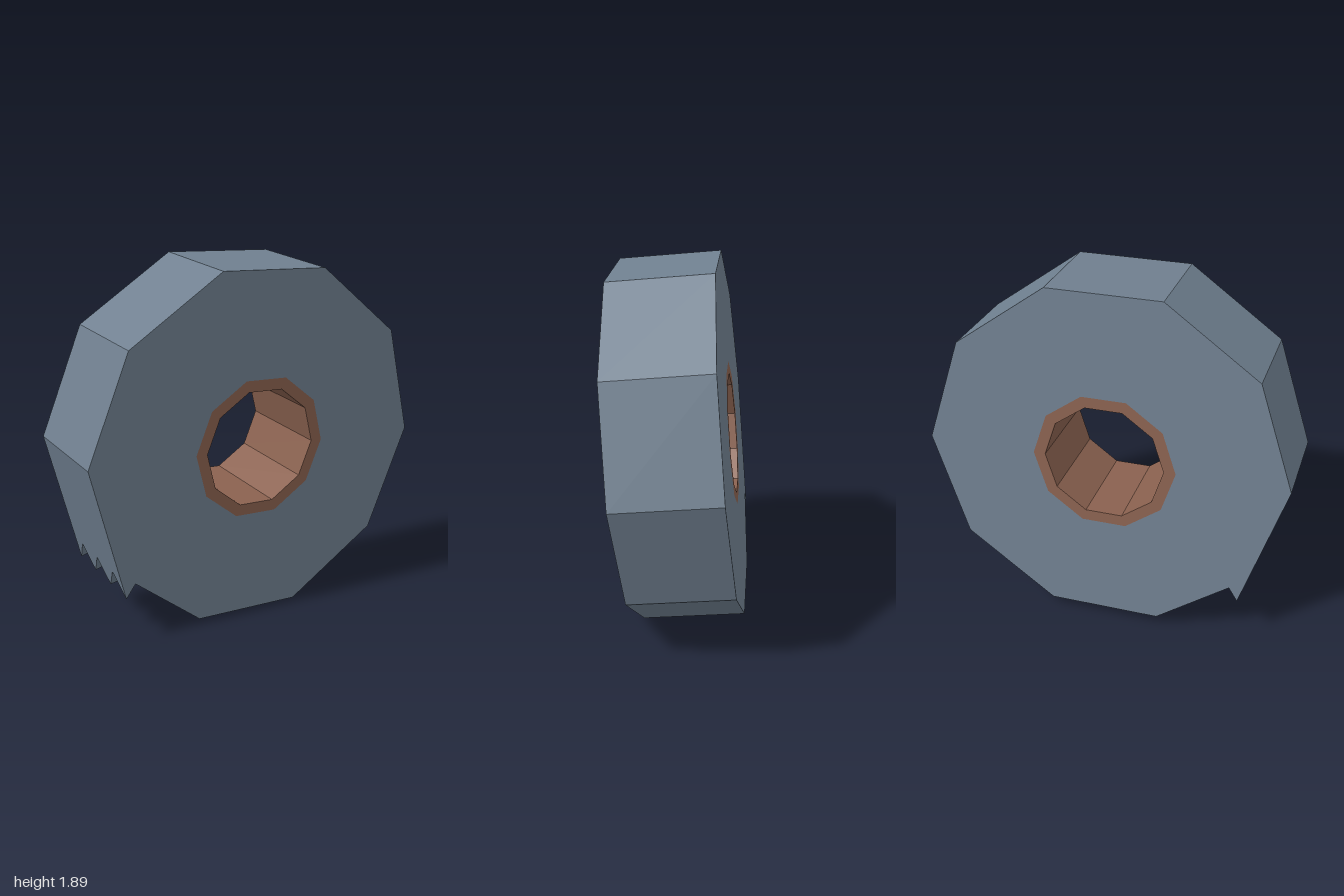
import * as THREE from 'three';

const R = 0.962;      // body radius
const SLEEVE = 0.38;  // sleeve outer radius
const BORE = 0.317;   // hole radius
const DEPTH = 0.538;
const SIDES = 10;

const polar = (r, i) => {
  const a = (i / SIDES) * Math.PI * 2;
  return new THREE.Vector2(r * Math.cos(a), r * Math.sin(a));
};
const polygon = (r) => Array.from({ length: SIDES }, (_, i) => polar(r, i));

// Ten-sided ring, centred on its depth
function ring(outer, inner) {
  const shape = new THREE.Shape(polygon(outer));
  shape.holes.push(new THREE.Path(polygon(inner).reverse()));
  const geo = new THREE.ExtrudeGeometry(shape, { depth: DEPTH, bevelEnabled: false });
  return geo.translate(0, 0, -DEPTH / 2);
}

// Row of teeth continuing one rim facet past its corner
function teeth() {
  const corner = polar(R, 6);
  const along = corner.clone().sub(polar(R, 5)).normalize();
  const next = polar(R, 7).sub(corner).normalize();
  const base = corner.clone().addScaledVector(next, 0.115);
  const steps = 6;
  const sections = [];
  for (let i = 0; i <= steps; i++) {
    const z = -DEPTH / 2 + (DEPTH * i) / steps;
    const tip = corner.clone().addScaledVector(along, i % 2 ? 0.025 : 0.15);
    sections.push([corner, tip, base].map((p) => new THREE.Vector3(p.x, p.y, z)));
  }
  const pts = [];
  for (let i = 0; i < steps; i++) {
    const a = sections[i], b = sections[i + 1];
    for (let k = 0; k < 2; k++) {
      pts.push(a[k], a[k + 1], b[k + 1], a[k], b[k + 1], b[k]);
    }
  }
  const [first, last] = [sections[0], sections[steps]];
  pts.push(first[0], first[2], first[1], ...last);
  const geo = new THREE.BufferGeometry().setFromPoints(pts);
  geo.computeVertexNormals();
  return geo;
}

export function createModel() {
  const slate = new THREE.MeshStandardMaterial({ color: 0x708090 });
  slate.name = 'slate grey';
  const copper = new THREE.MeshStandardMaterial({ color: 0x8b6250 });
  copper.name = 'copper brown';

  const wheel = new THREE.Group();
  wheel.name = 'wheel';
  const add = (name, geo, mat) => {
    const mesh = new THREE.Mesh(geo, mat);
    mesh.name = name;
    wheel.add(mesh);
  };
  add('wheelBody', ring(R, SLEEVE), slate);
  add('boreSleeve', ring(SLEEVE, BORE), copper);
  add('rimTeeth', teeth(), slate);

  // Tilted axis: right, up and forward directions of the wheel
  const right = new THREE.Vector3(0.9617, -0.026, 0.273).normalize();
  const forward = new THREE.Vector3().crossVectors(right, new THREE.Vector3(0, 0.995, 0.0966)).normalize();
  const up = new THREE.Vector3().crossVectors(forward, right);
  wheel.quaternion.setFromRotationMatrix(new THREE.Matrix4().makeBasis(right, up, forward));
  wheel.position.y = 0.944;

  const model = new THREE.Group();
  model.name = 'tiltedWheel';
  model.add(wheel);
  return model;
}
